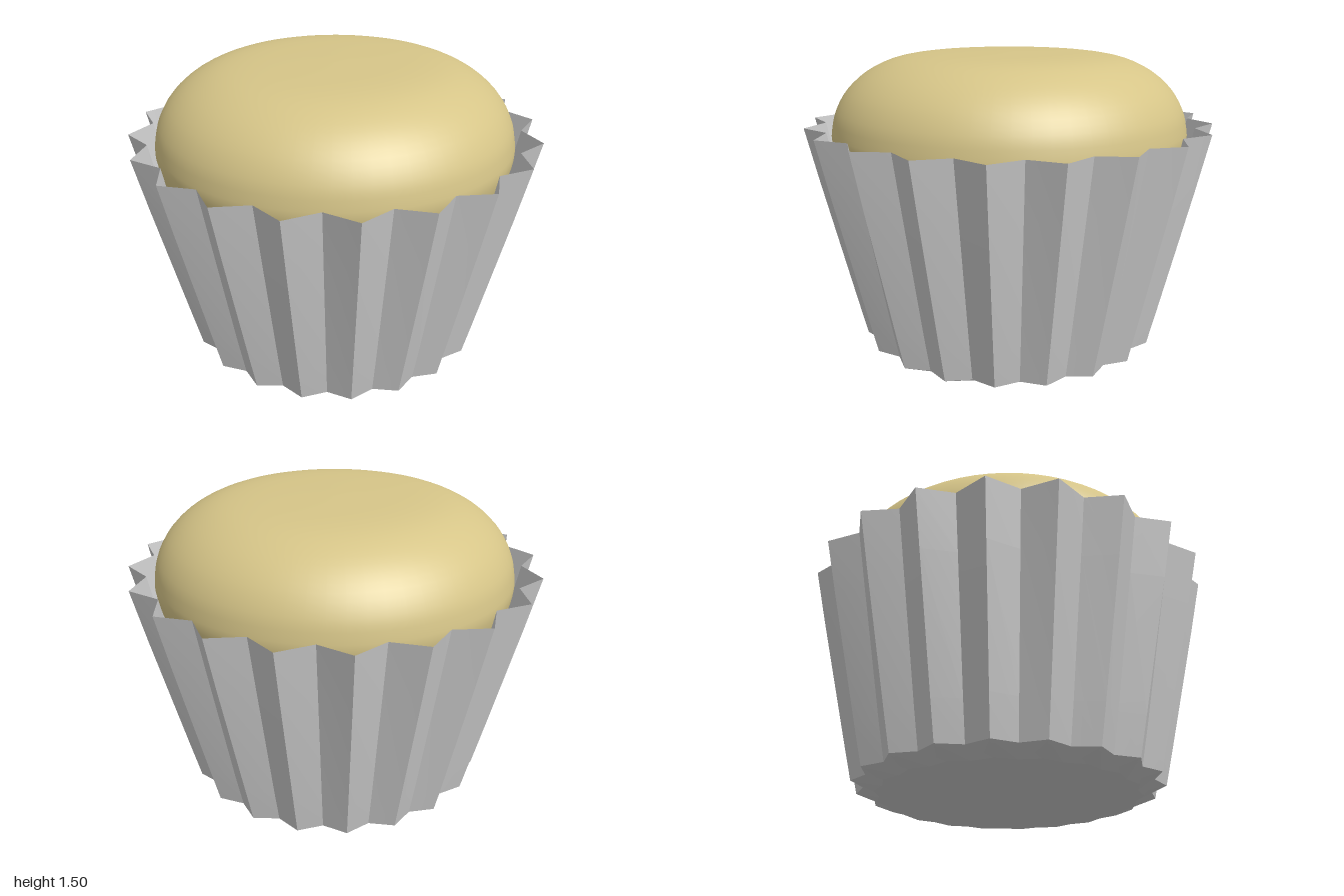
import * as THREE from 'three';
import { toCreasedNormals } from 'three/addons/utils/BufferGeometryUtils.js';

const PLEATS = 20;

// Pleated cup: each row is [ridge radius, groove radius, height]
function createCup() {
  const rows = [
    [0, 0, 0.005],
    [0.4, 0.4, 0.008],
    [0.645, 0.62, 0.02],
    [0.755, 0.7, 0.065],
    [0.8, 0.74, 0.25],
    [0.95, 0.865, 0.88],
    [1.0125, 0.918, 1.155],
  ];
  const profile = rows.map(([r, , y]) => new THREE.Vector2(r, y));
  const geometry = new THREE.LatheGeometry(profile, PLEATS * 2);
  const pos = geometry.attributes.position;
  // Pull every other column inward to form the grooves
  for (let i = 0; i < pos.count; i++) {
    const column = Math.floor(i / rows.length);
    const [ridge, groove] = rows[i % rows.length];
    if (column % 2 === 0 && ridge > 0) {
      pos.setX(i, pos.getX(i) * groove / ridge);
      pos.setZ(i, pos.getZ(i) * groove / ridge);
    }
  }
  const material = new THREE.MeshStandardMaterial({ color: 0xcccccc, side: THREE.DoubleSide });
  const cup = new THREE.Mesh(toCreasedNormals(geometry, 0.4), material);
  cup.name = 'pleatedCup';
  return cup;
}

// Cake: flattened dome that sinks into the cup
function createCake() {
  const outline = new THREE.SplineCurve([
    [0.79, 0.8], [0.85, 0.95], [0.882, 1.08], [0.877, 1.155], [0.855, 1.235],
    [0.8, 1.325], [0.71, 1.405], [0.59, 1.463], [0.45, 1.49], [0.25, 1.5], [0, 1.505],
  ].map(([r, y]) => new THREE.Vector2(r, y)));
  const profile = [new THREE.Vector2(0, 0.8), ...outline.getPoints(30)];
  profile[profile.length - 1].x = 0;
  const geometry = toCreasedNormals(new THREE.LatheGeometry(profile, 64), 0.6);
  const cake = new THREE.Mesh(geometry, new THREE.MeshStandardMaterial({ color: 0xd6c588 }));
  cake.name = 'cake';
  return cake;
}

export function createModel() {
  const model = new THREE.Group();
  model.name = 'cupcake';
  model.add(createCup(), createCake());
  return model;
}
